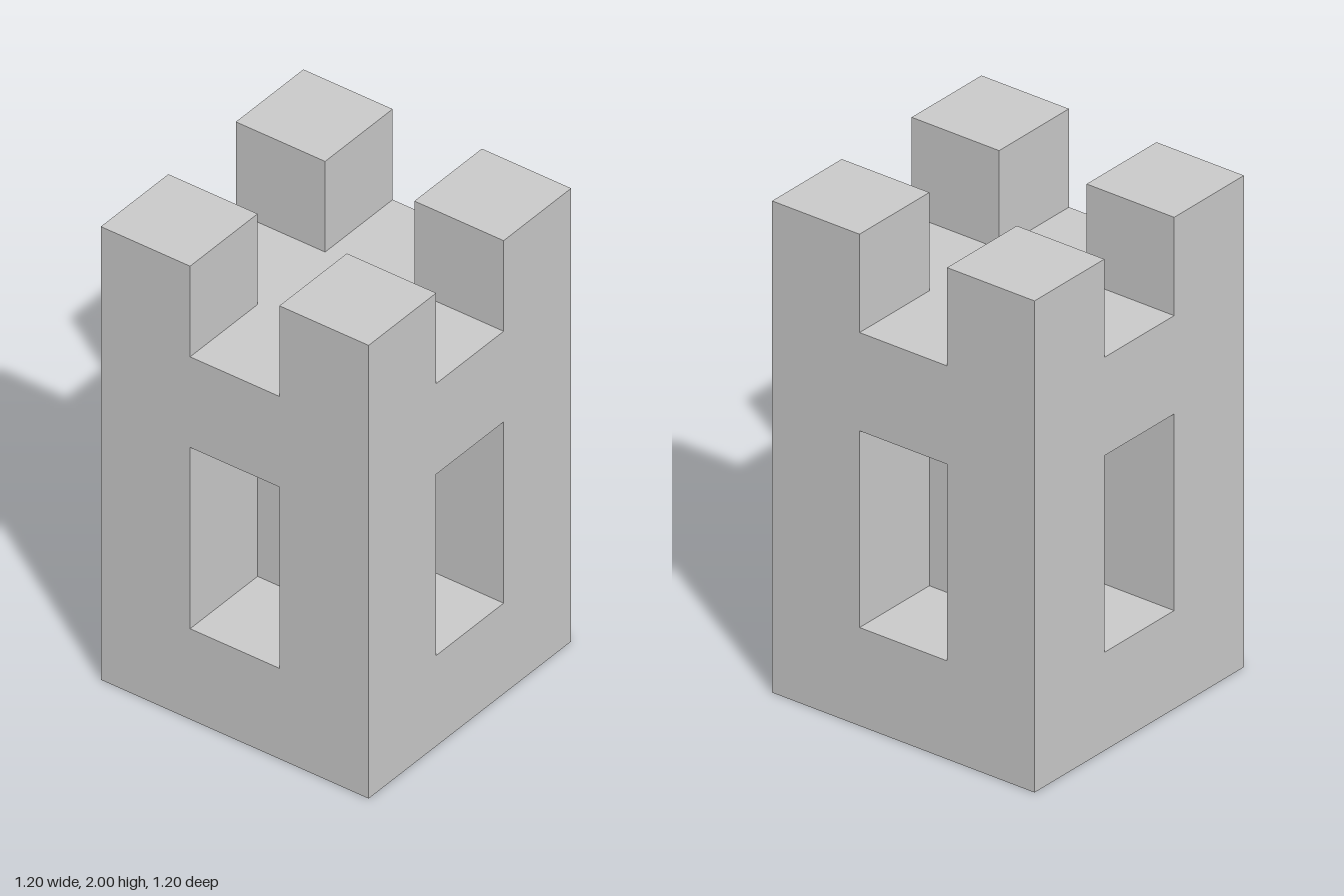
import * as THREE from 'three';

const HALF = 0.6;    // half width of the tower
const GAP = 0.2;     // half width of windows and battlement gaps
const CELL = 0.4;    // window width, window depth and merlon size
const SILL = 0.4, LINTEL = 1.2, DECK = 1.6, TOP = 2;

const material = new THREE.MeshStandardMaterial({ color: 0xcccccc, flatShading: true });
const Q = Math.PI / 2;

function addMesh(parent, name, geometry, pos = [0, 0, 0], rot = [0, 0, 0]) {
  const mesh = new THREE.Mesh(geometry, material);
  mesh.name = name;
  mesh.position.set(...pos);
  mesh.rotation.set(...rot);
  parent.add(mesh);
}

const panel = (w, h) => new THREE.PlaneGeometry(w, h);
const outline = (points) => new THREE.Shape(points.map(([x, y]) => new THREE.Vector2(x, y)));

// Outer wall face with a battlement notch and a window opening
function wallGeometry() {
  const shape = outline([
    [-HALF, 0], [HALF, 0], [HALF, TOP], [GAP, TOP],
    [GAP, DECK], [-GAP, DECK], [-GAP, TOP], [-HALF, TOP],
  ]);
  shape.holes.push(outline([[-GAP, SILL], [-GAP, LINTEL], [GAP, LINTEL], [GAP, SILL]]));
  return new THREE.ShapeGeometry(shape);
}

// Window recess ending at the solid core
function windowRecess() {
  const group = new THREE.Group();
  group.name = 'windowRecess';
  const h = LINTEL - SILL, y = (LINTEL + SILL) / 2, z = HALF - CELL / 2;
  addMesh(group, 'windowBack', panel(CELL, h), [0, y, GAP]);
  addMesh(group, 'windowSill', panel(CELL, CELL), [0, SILL, z], [-Q, 0, 0]);
  addMesh(group, 'windowLintel', panel(CELL, CELL), [0, LINTEL, z], [Q, 0, 0]);
  for (const s of [-1, 1]) {
    addMesh(group, 'windowJamb', panel(CELL, h), [s * GAP, y, z], [0, -s * Q, 0]);
  }
  return group;
}

// Top and inner faces of a corner merlon
function merlon() {
  const group = new THREE.Group();
  group.name = 'merlon';
  const c = HALF - CELL / 2, h = TOP - DECK, y = (TOP + DECK) / 2;
  addMesh(group, 'merlonTop', panel(CELL, CELL), [c, TOP, c], [-Q, 0, 0]);
  addMesh(group, 'merlonInnerSide', panel(CELL, h), [GAP, y, c], [0, -Q, 0]);
  addMesh(group, 'merlonInnerBack', panel(CELL, h), [c, y, GAP], [0, 2 * Q, 0]);
  return group;
}

export function createModel() {
  const tower = new THREE.Group();
  tower.name = 'tower';

  // Four identical sides, each carrying one corner merlon
  ['front', 'left', 'back', 'right'].forEach((name, i) => {
    const side = new THREE.Group();
    side.name = name + 'Side';
    addMesh(side, 'wall', wallGeometry(), [0, 0, HALF]);
    side.add(windowRecess(), merlon());
    side.rotation.y = i * Q;
    tower.add(side);
  });

  // Cross-shaped deck between the merlons
  const cross = outline([
    [-GAP, -HALF], [GAP, -HALF], [GAP, -GAP], [HALF, -GAP], [HALF, GAP], [GAP, GAP],
    [GAP, HALF], [-GAP, HALF], [-GAP, GAP], [-HALF, GAP], [-HALF, -GAP], [-GAP, -GAP],
  ]);
  addMesh(tower, 'deck', new THREE.ShapeGeometry(cross), [0, DECK, 0], [-Q, 0, 0]);

  // Underside
  addMesh(tower, 'base', panel(2 * HALF, 2 * HALF), [0, 0, 0], [Q, 0, 0]);

  return tower;
}
